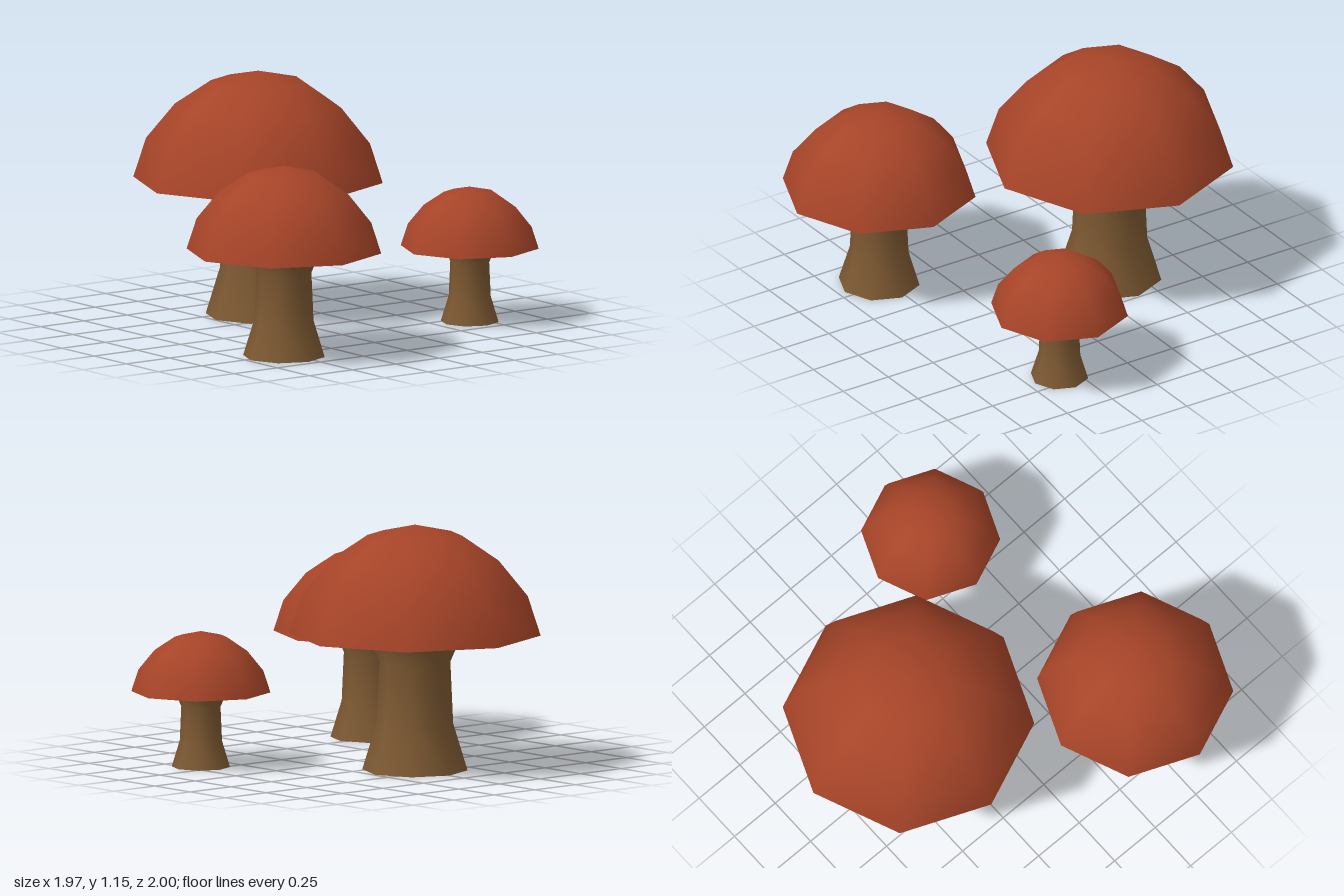
import * as THREE from 'three';

const SIDES = 8;
const capMaterial = new THREE.MeshStandardMaterial({ name: 'cap red', color: 0xa64428 });
const stemMaterial = new THREE.MeshStandardMaterial({ name: 'stem brown', color: 0x7d5932 });

// Profiles as [radius, height] from bottom to top
const CAP_PROFILE = [[0.585, 0.635], [0.525, 0.82], [0.39, 0.985], [0.22, 1.1], [0, 1.15]];
const STEM_PROFILE = [[0.245, 0], [0.178, 0.22], [0.165, 0.51], [0.22, 0.637]];

function lathe(profile) {
  const geometry = new THREE.LatheGeometry(profile.map(([r, y]) => new THREE.Vector2(r, y)), SIDES);
  // Points on the axis get an upright normal for a smooth crown
  const { position, normal } = geometry.attributes;
  for (let i = 0; i < position.count; i++) {
    if (Math.hypot(position.getX(i), position.getZ(i)) < 1e-6) normal.setXYZ(i, 0, 1, 0);
  }
  return geometry;
}

// Flat octagon facing down
function underside(radius, y) {
  return new THREE.CircleGeometry(radius, SIDES).rotateX(Math.PI / 2).translate(0, y, 0);
}

function part(name, geometry, material) {
  const mesh = new THREE.Mesh(geometry, material);
  mesh.name = name;
  return mesh;
}

function mushroom(name, x, z, scale) {
  const group = new THREE.Group();
  group.name = name;
  group.add(
    part('cap', lathe(CAP_PROFILE), capMaterial),
    part('capUnderside', underside(...CAP_PROFILE[0]), capMaterial),
    part('stem', lathe(STEM_PROFILE), stemMaterial),
    part('stemBase', underside(...STEM_PROFILE[0]), stemMaterial),
  );
  group.position.set(x, 0, z);
  group.scale.setScalar(scale);
  return group;
}

export function createModel() {
  const model = new THREE.Group();
  model.name = 'mushroomCluster';
  model.add(
    mushroom('largeMushroom', -0.4, 0.003, 1),
    mushroom('mediumMushroom', 0.525, 0.543, 0.78),
    mushroom('smallMushroom', 0.33, -0.678, 0.553),
  );
  return model;
}
